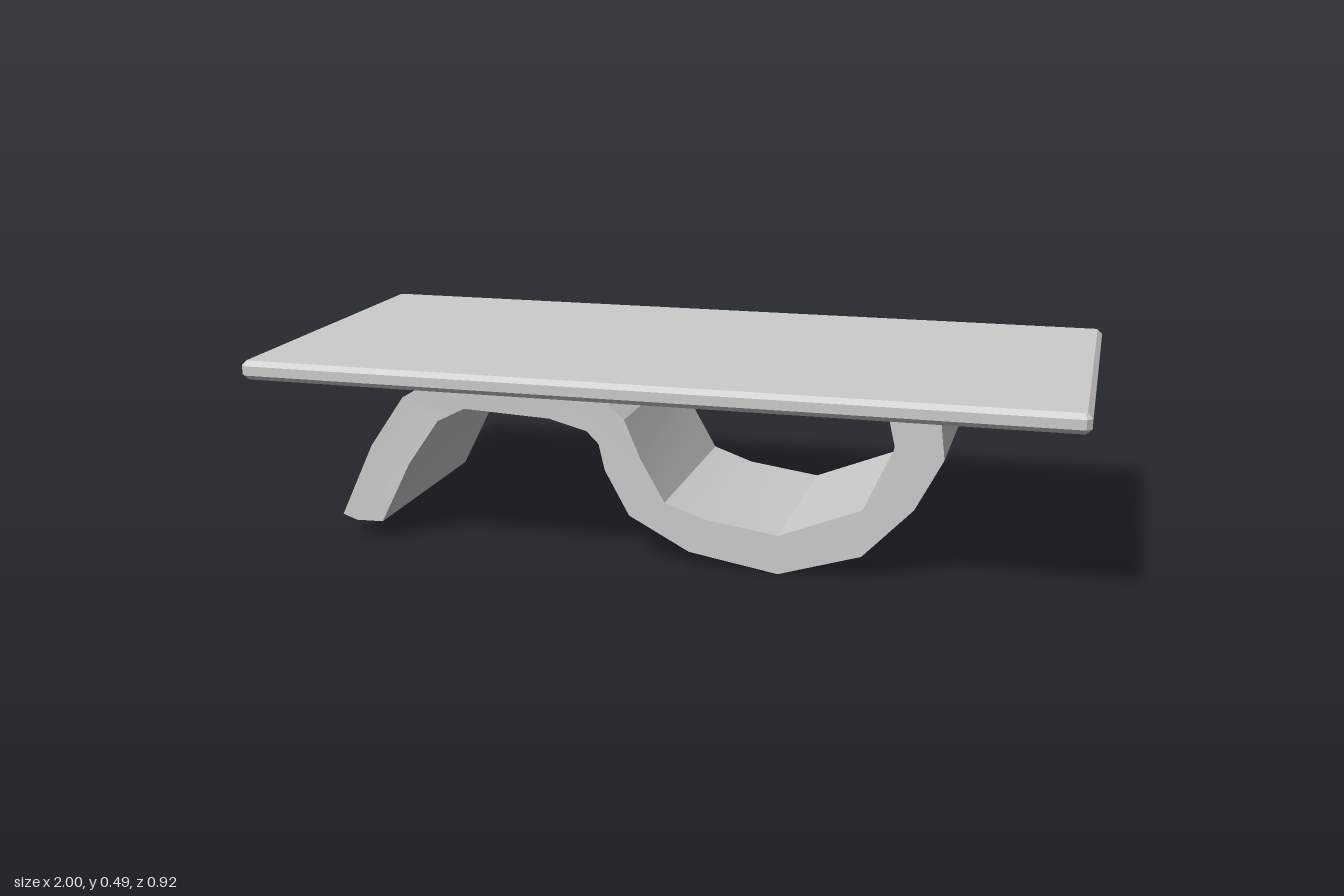
import * as THREE from 'three';
import { toCreasedNormals } from 'three/addons/utils/BufferGeometryUtils.js';

const material = new THREE.MeshStandardMaterial({ color: 0xcccccc });
const toShape = (points) => new THREE.Shape(points.map(([x, y]) => new THREE.Vector2(x, y)));

// Thin rectangular slab with every edge chamfered
function createTabletop() {
  const x = 1, z = 0.462, c = 0.012, bottom = 0.444, top = 0.491;
  const outline = toShape([
    [-x + c, -z], [x - c, -z], [x, -z + c], [x, z - c],
    [x - c, z], [-x + c, z], [-x, z - c], [-x, -z + c],
  ]);
  const geometry = new THREE.ExtrudeGeometry(outline, {
    depth: top - bottom - 2 * c,
    bevelSize: c, bevelThickness: c, bevelOffset: -c, bevelSegments: 1,
  });
  geometry.rotateX(-Math.PI / 2).translate(0, bottom + c, 0);
  const mesh = new THREE.Mesh(toCreasedNormals(geometry, 0.3), material);
  mesh.name = 'tabletop';
  return mesh;
}

// Wavy support: an arch flowing into a trough, slightly deeper at its left foot
function createWaveBase() {
  const upper = [
    [-0.838, 0.063], [-0.75, 0.25], [-0.66, 0.38], [-0.55, 0.438], [-0.5, 0.445],
    [-0.27, 0.445], [-0.16, 0.42], [-0.09, 0.36], [-0.05, 0.265], [0.01, 0.16],
    [0.11, 0.125], [0.29, 0.1], [0.49, 0.18], [0.545, 0.27], [0.56, 0.34], [0.545, 0.405],
  ];
  const lower = [
    [-0.8, 0.05], [-0.73, 0.052], [-0.65, 0.21], [-0.57, 0.325], [-0.5, 0.36],
    [-0.28, 0.35], [-0.185, 0.325], [-0.155, 0.295], [-0.14, 0.23], [-0.08, 0.12],
    [0.07, 0.04], [0.29, 0.003], [0.49, 0.065], [0.61, 0.19], [0.675, 0.315],
    [0.66, 0.44], [0.6, 0.43],
  ];
  const geometry = new THREE.ExtrudeGeometry(
    toShape([...lower, ...upper.reverse()]), { depth: 1, bevelEnabled: false });

  // Place the front and back faces, widening toward the left foot
  const p = geometry.attributes.position;
  for (let i = 0; i < p.count; i++) {
    const widen = THREE.MathUtils.clamp((-0.5 - p.getX(i)) / 0.14, 0, 1);
    p.setZ(i, p.getZ(i) > 0.5 ? 0.281 + 0.006 * widen : -0.231 - 0.032 * widen);
  }
  const mesh = new THREE.Mesh(toCreasedNormals(geometry, 0.25), material);
  mesh.name = 'waveBase';
  return mesh;
}

export function createModel() {
  const group = new THREE.Group();
  group.name = 'waveTable';
  group.add(createTabletop(), createWaveBase());
  return group;
}
